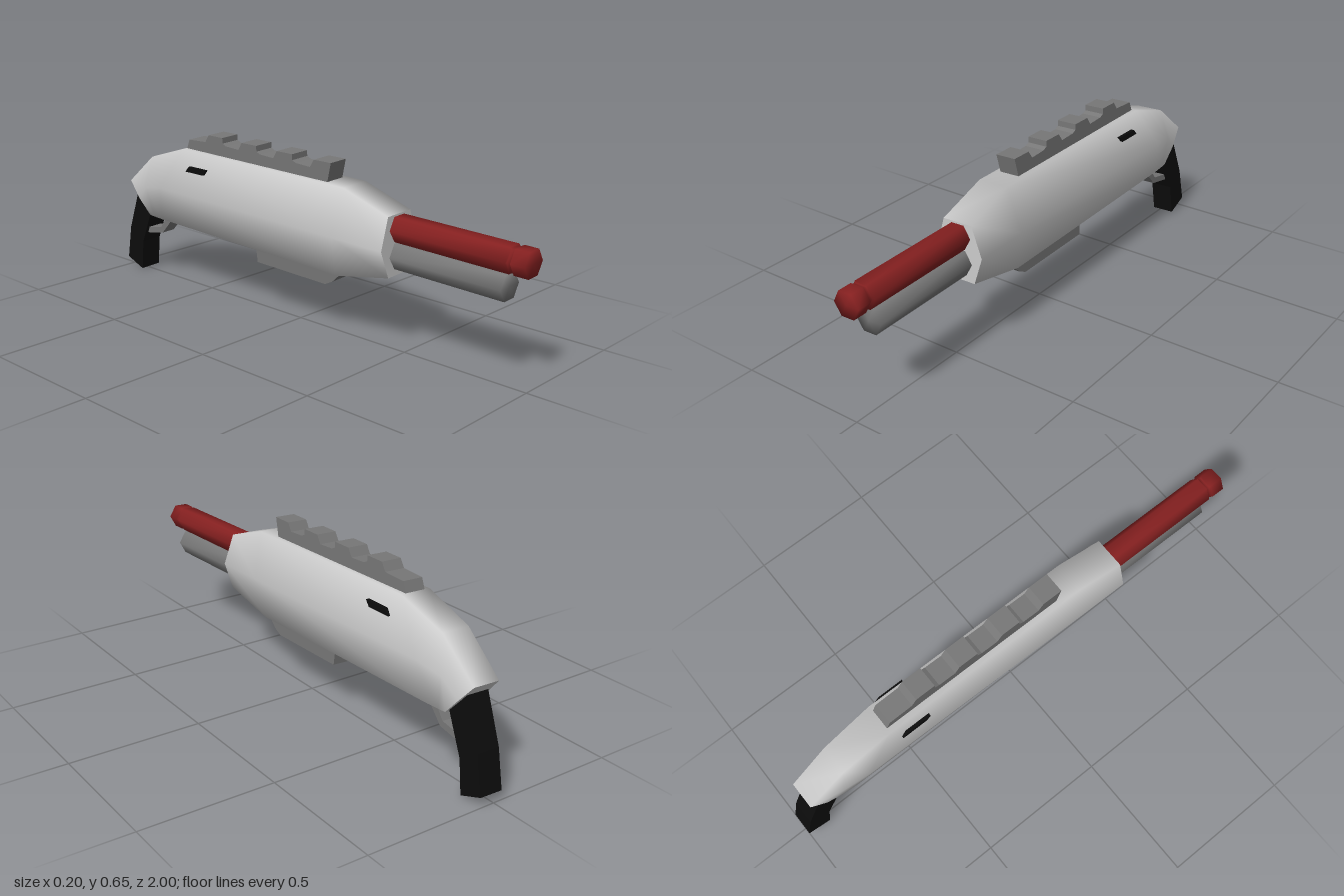
import * as THREE from 'three';
import { mergeVertices } from 'three/addons/utils/BufferGeometryUtils.js';

const mat = (color, extra = {}) => new THREE.MeshStandardMaterial({ color, ...extra });
const shell = mat(0xcccccc);
const darkGrey = mat(0x777777);
const red = mat(0x852020);
const black = mat(0x0c0c0c);

function add(group, name, geometry, material) {
  const mesh = new THREE.Mesh(geometry, material);
  mesh.name = name;
  group.add(mesh);
  return mesh;
}

// Side profile given as [z, y] points, extruded symmetrically across x
function slab(points, halfWidth) {
  const shape = new THREE.Shape(points.map(([z, y]) => new THREE.Vector2(-z, y)));
  const geo = new THREE.ExtrudeGeometry(shape, { depth: 2 * halfWidth, bevelEnabled: false });
  return geo.translate(0, 0, -halfWidth).rotateY(Math.PI / 2);
}

// Six-sided tube along z from [radius, z] points, softly shaded
function hexTube(points) {
  const profile = points.map(([r, z]) => new THREE.Vector2(r, z));
  let geo = new THREE.LatheGeometry(profile, 6, Math.PI / 6).rotateX(Math.PI / 2);
  geo.deleteAttribute('normal');
  geo.deleteAttribute('uv');
  geo = mergeVertices(geo, 1e-4);
  geo.computeVertexNormals();
  return geo;
}

// Hexagonal shell lofted through sections of [z, y, halfWidth] at top, middle and bottom
function loft(sections) {
  const pos = [], idx = [];
  const ring = ([t, m, b]) => {
    const corners = [[m, 1], [t, 1], [t, -1], [m, -1], [b, -1], [b, 1]];
    for (const [[z, y, w], s] of corners) pos.push(s * w, y, z);
  };
  sections.forEach(ring);
  for (let i = 0; i < sections.length - 1; i++) {
    for (let j = 0; j < 6; j++) {
      const a = i * 6 + j, b = i * 6 + (j + 1) % 6;
      idx.push(a, a + 6, b, b, a + 6, b + 6);
    }
  }
  // End caps keep their own corners so their rims stay sharp
  const front = pos.length / 3, back = front + 6;
  ring(sections[0]);
  ring(sections[sections.length - 1]);
  for (let j = 1; j < 5; j++) {
    idx.push(front, front + j, front + j + 1, back, back + j + 1, back + j);
  }
  const geo = new THREE.BufferGeometry();
  geo.setAttribute('position', new THREE.Float32BufferAttribute(pos, 3));
  geo.setIndex(idx);
  geo.computeVertexNormals();
  return geo;
}

export function createModel() {
  const model = new THREE.Group();
  model.name = 'model';

  // The whole assembly leans slightly to one side
  const lean = new THREE.Group();
  lean.name = 'assembly';
  lean.position.y = 0.4;
  lean.rotation.z = 0.035;
  model.add(lean);
  const parts = new THREE.Group();
  parts.name = 'parts';
  parts.position.y = -0.4;
  lean.add(parts);

  // Main shell
  add(parts, 'body', loft([
    [[0.465, 0.505, 0.06], [0.465, 0.39, 0.098], [0.465, 0.285, 0.06]],
    [[0.265, 0.572, 0.06], [0.24, 0.395, 0.098], [0.22, 0.238, 0.06]],
    [[-0.58, 0.585, 0.06], [-0.7, 0.41, 0.09], [-0.74, 0.263, 0.06]],
    [[-0.78, 0.522, 0.055], [-0.81, 0.39, 0.075], [-0.79, 0.264, 0.057]],
    [[-0.937, 0.395, 0.052], [-0.88, 0.33, 0.06], [-0.82, 0.265, 0.055]],
  ]), shell);

  // Upper barrel with grooved tip, lower tube
  const barrel = add(parts, 'barrel', hexTube([
    [0, 0.4], [0.052, 0.4], [0.052, 0.928], [0.046, 0.931],
    [0.046, 0.942], [0.052, 0.946], [0.052, 1], [0, 1],
  ]), red);
  barrel.position.y = 0.463;
  barrel.rotation.x = 0.022;
  const tube = add(parts, 'lowerTube', hexTube([
    [0, 0.4], [0.053, 0.4], [0.053, 0.915], [0, 0.915],
  ]), darkGrey);
  tube.position.y = 0.366;
  tube.rotation.x = 0.022;

  // Notched top rail: four repeating teeth
  const rail = [[0.17, 0.565], [0.19, 0.645]];
  for (let i = 0; i < 4; i++) {
    const z = 0.187 - i * 0.185, y = 0.645 + i * 0.0035;
    if (i) rail.push([z + 0.018, y - 0.03], [z, y - 0.022], [z, y]);
    rail.push([z - 0.078, y], [z - 0.098, y - 0.03]);
  }
  rail.push([-0.56, 0.622], [-0.58, 0.575]);
  add(parts, 'topRail', slab(rail, 0.04), darkGrey);

  // Hand rest under the body
  add(parts, 'foreGrip', slab([
    [0.225, 0.25], [0.225, 0.237], [0.185, 0.2], [0.15, 0.183],
    [-0.2, 0.19], [-0.207, 0.26],
  ], 0.038), darkGrey);

  // Trigger guard strip
  add(parts, 'triggerGuard', slab([
    [-0.7, 0.27], [-0.775, 0.19], [-0.88, 0.17],
    [-0.88, 0.195], [-0.785, 0.212], [-0.74, 0.27],
  ], 0.03), darkGrey);

  // Rear handle
  add(parts, 'handle', slab([
    [-0.82, 0.29], [-0.892, 0.13], [-0.91, 0.005],
    [-1, 0.04], [-0.97, 0.18], [-0.9, 0.355],
  ], 0.045), black);

  // Slots showing on both sides of the body
  add(parts, 'sideSlots', slab([
    [-0.425, 0.525], [-0.525, 0.525], [-0.545, 0.503], [-0.442, 0.503],
  ], 0.083), black);

  return model;
}
